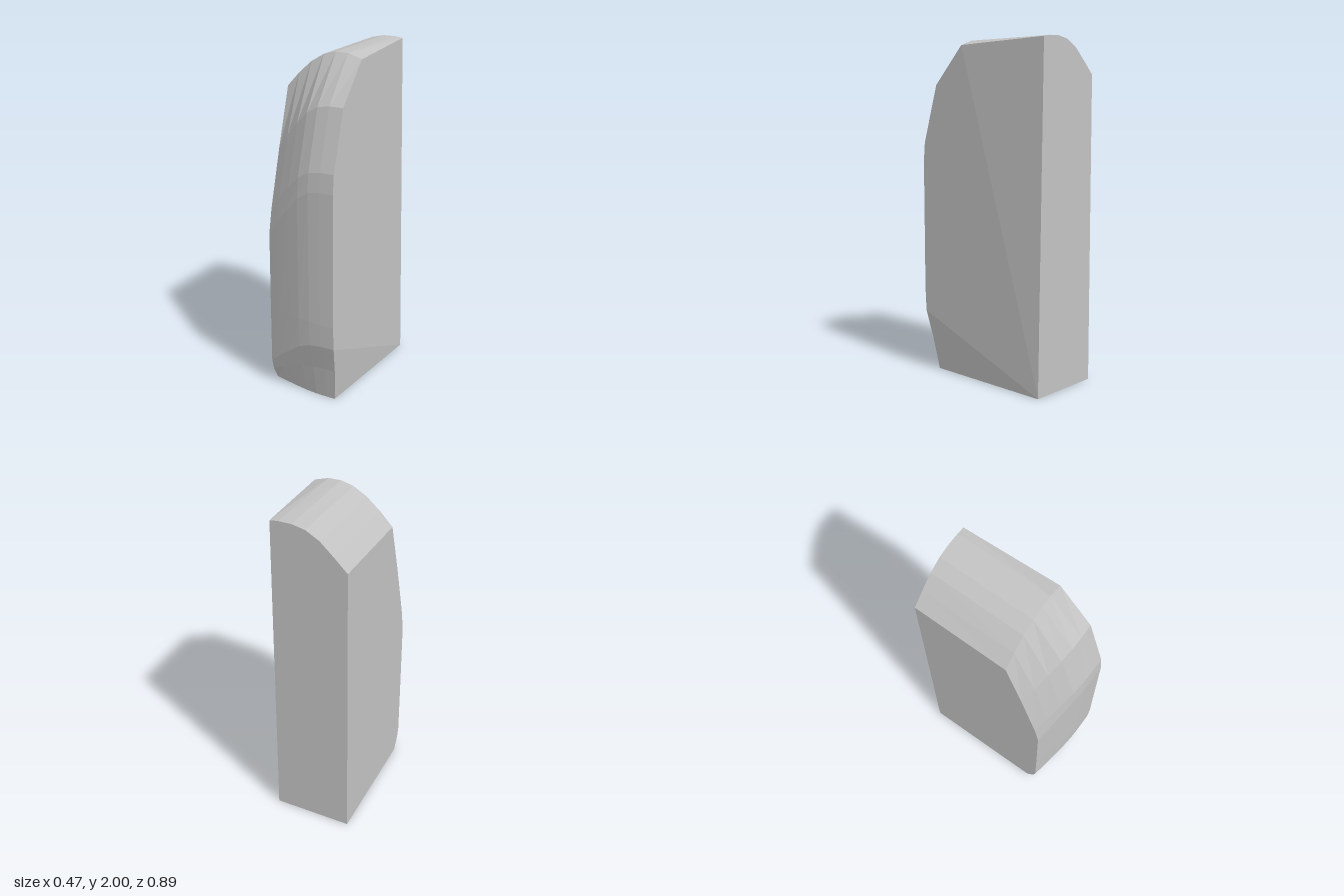
import * as THREE from 'three';

// Front edge profiles [z, y] from bottom to top, at the narrow (left = -x) and deep (+x) sides
const SHALLOW = [[0.30, 0], [0.345, 0.08], [0.36, 0.14], [0.36, 0.5], [0.357, 0.95], [0.33, 1.09], [0.235, 1.43], [0.13, 1.77]];
const DEEP = [[0.365, 0], [0.40, 0.2], [0.44, 0.36], [0.447, 0.5], [0.447, 1.28], [0.437, 1.39], [0.335, 1.73], [0.13, 1.956]];

// Cross-sections along x: [x, blend towards the shallow profile, front top y, back top y]
const SECTIONS = [
  [-0.235, 1, 1.77, 1.79],
  [-0.16, 0.71, 1.85, 1.865],
  [-0.08, 0.43, 1.92, 1.94],
  [0, 0.18, 1.967, 1.985],
  [0.075, 0.04, 1.985, 2],
  [0.15, 0, 1.983, 2],
  [0.235, 0, 1.956, 1.993],
];
const BACK = -0.445;

// Closed ring of points: up the front, over the top, down the back
function ring([x, blend, frontTop, backTop], isLast) {
  const points = DEEP.map(([z, y], i) => {
    const last = i === DEEP.length - 1;
    return new THREE.Vector3(
      x,
      last ? frontTop : THREE.MathUtils.lerp(y, SHALLOW[i][1], blend),
      THREE.MathUtils.lerp(z, SHALLOW[i][0], blend),
    );
  });
  points.push(new THREE.Vector3(x, backTop, BACK), new THREE.Vector3(x, 0, BACK));
  if (isLast) {
    // The deep side twists slightly: two corners are pulled inwards
    points[0].x = 0.2;
    points[1].x = 0.22;
    points[DEEP.length].x = 0.2;
  }
  return points;
}

function slabGeometry() {
  const rings = SECTIONS.map((s, i) => ring(s, i === SECTIONS.length - 1));
  const n = rings[0].length;
  const triangles = [];

  // Skin between neighbouring sections
  for (let j = 0; j < rings.length - 1; j++) {
    const a = rings[j], b = rings[j + 1];
    for (let i = 0; i < n; i++) {
      const k = (i + 1) % n;
      triangles.push(a[i], b[i], b[k], a[i], b[k], a[k]);
    }
  }
  // Side faces, fanned from the lower back corner
  const left = rings[0], right = rings[rings.length - 1];
  for (let i = 0; i < n - 2; i++) {
    triangles.push(left[n - 1], left[i], left[i + 1]);
    triangles.push(right[n - 1], right[i + 1], right[i]);
  }
  const geometry = new THREE.BufferGeometry().setFromPoints(triangles);
  geometry.computeVertexNormals();
  return geometry;
}

export function createModel() {
  const group = new THREE.Group();
  group.name = 'taperedSlab';
  const grey = new THREE.MeshStandardMaterial({ color: 0xc2c2c2 });
  grey.name = 'light grey';
  grey.flatShading = true;
  const slab = new THREE.Mesh(slabGeometry(), grey);
  slab.name = 'slabBody';
  group.add(slab);
  return group;
}
